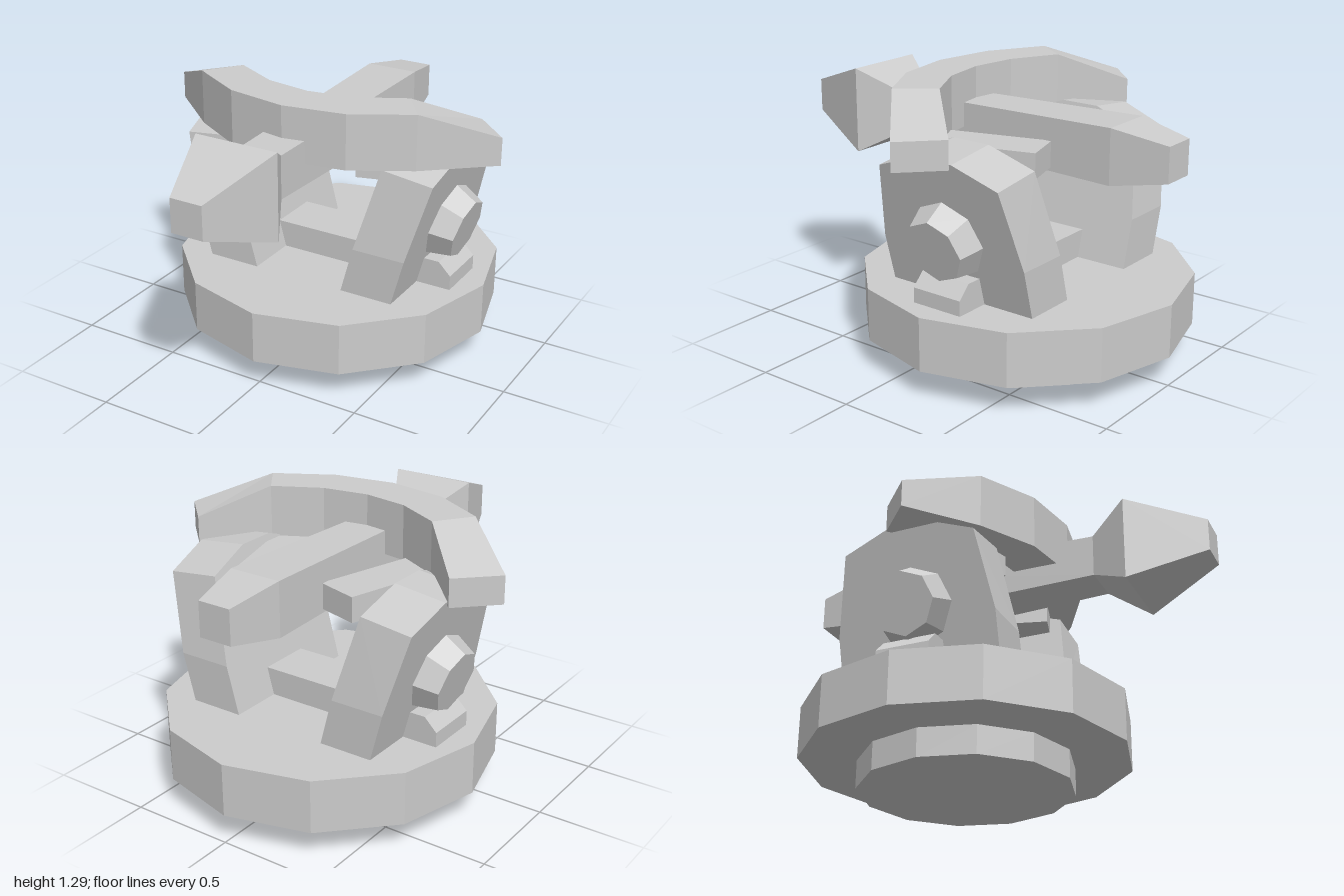
import * as THREE from 'three';

const material = new THREE.MeshStandardMaterial({ color: 0xcccccc, flatShading: true });
const CZ = -0.225; // z of the turret axis

function add(group, name, geometry) {
  const mesh = new THREE.Mesh(geometry, material);
  mesh.name = name;
  group.add(mesh);
  return mesh;
}

// Closed solid through matching convex rings of [x, y, z] points
function loft(rings) {
  const tris = [];
  const n = rings[0].length;
  for (let r = 0; r < rings.length - 1; r++) {
    const a = rings[r], b = rings[r + 1];
    for (let i = 0; i < n; i++) {
      const j = (i + 1) % n;
      tris.push([a[i], a[j], b[j]], [a[i], b[j], b[i]]);
    }
  }
  const first = rings[0], last = rings[rings.length - 1];
  for (let i = 1; i < n - 1; i++) {
    tris.push([first[0], first[i + 1], first[i]], [last[0], last[i], last[i + 1]]);
  }
  // Turn the faces outward whichever way the rings run
  const v = (p) => new THREE.Vector3(...p);
  const volume = tris.reduce((sum, [a, b, c]) => sum + v(a).dot(v(b).cross(v(c))), 0);
  if (volume < 0) tris.forEach((t) => t.reverse());
  const geometry = new THREE.BufferGeometry();
  geometry.setAttribute('position', new THREE.Float32BufferAttribute(tris.flat(2), 3));
  geometry.computeVertexNormals();
  return geometry;
}

export function createModel() {
  const model = new THREE.Group();
  model.name = 'ballistaTurret';

  // Twelve-sided base discs
  add(model, 'foot', new THREE.CylinderGeometry(0.505, 0.505, 0.135, 12)).position.set(0, 0.0675, CZ);
  add(model, 'turntable', new THREE.CylinderGeometry(0.775, 0.775, 0.25, 12)).position.set(0, 0.26, CZ);

  // Cross beam with chamfered ends
  const beam = [[-0.66, 0.38], [0.66, 0.38], [0.66, 0.455], [0.6, 0.515], [-0.6, 0.515], [-0.66, 0.455]];
  add(model, 'crossBeam', loft([-0.1, -0.355].map((z) => beam.map(([x, y]) => [x, y, z]))));

  // Outward-leaning side plates: half profile [z offset, y], mirrored front to back
  const half = [[0.385, 0.38], [0.385, 0.61], [0.32, 1.0], [0.095, 1.08]];
  const profile = [...half, ...half.map(([z, y]) => [-z, y]).reverse()];
  for (const s of [1, -1]) {
    const side = s > 0 ? 'left' : 'right';
    const plate = [0, 1].map((outer) => profile.map(([z, y]) => {
      const h = y - (y > 0.9 ? 0.03 * outer : 0);
      return [s * (0.23 + 0.26 * outer + (h - 0.385) * 0.267), h, CZ + z];
    }));
    add(model, side + 'SidePlate', loft(plate));

    // Tapered eight-sided knob square to the plate
    const knob = add(model, side + 'Knob', new THREE.CylinderGeometry(0.147, 0.188, 0.12, 8));
    knob.position.set(s * 0.617, 0.666, CZ);
    knob.rotation.z = -s * THREE.MathUtils.degToRad(105);

    // Splayed arm between plate and stock
    const arm = add(model, side + 'Arm', new THREE.BoxGeometry(0.21, 0.118, 0.53));
    arm.position.set(s * 0.284, 0.989, -0.205);
    arm.rotation.y = s * 0.28;
  }

  // Bow: half sections [front x, front z, back x, back z, top y]
  const bowHalf = [
    [0, 0.29, 0, 0.075, 1.29],
    [0.295, 0.24, 0.22, 0.04, 1.29],
    [0.56, 0.09, 0.44, -0.075, 1.29],
    [0.85, -0.155, 0.68, -0.32, 1.16],
  ];
  const mirrored = bowHalf.slice(1).reverse().map(([fx, fz, bx, bz, t]) => [-fx, fz, -bx, bz, t]);
  add(model, 'bow', loft([...mirrored, ...bowHalf].map(([fx, fz, bx, bz, top]) => [
    [fx, 1.03, fz], [fx, top, fz], [bx, top, bz], [bx, 1.03, bz],
  ])));

  // Stock and bolt head: square sections [z, half size]
  const squareLoft = (sections) => loft(sections.map(([z, h]) => [
    [-h, 1.033 - h, z], [h, 1.033 - h, z], [h, 1.033 + h, z], [-h, 1.033 + h, z],
  ]));
  add(model, 'stock', squareLoft([[-1, 0.081], [-0.74, 0.127], [0.46, 0.102]]));
  add(model, 'boltHead', squareLoft([[0.455, 0.102], [0.64, 0.204], [1, 0.078]]));

  return model;
}
